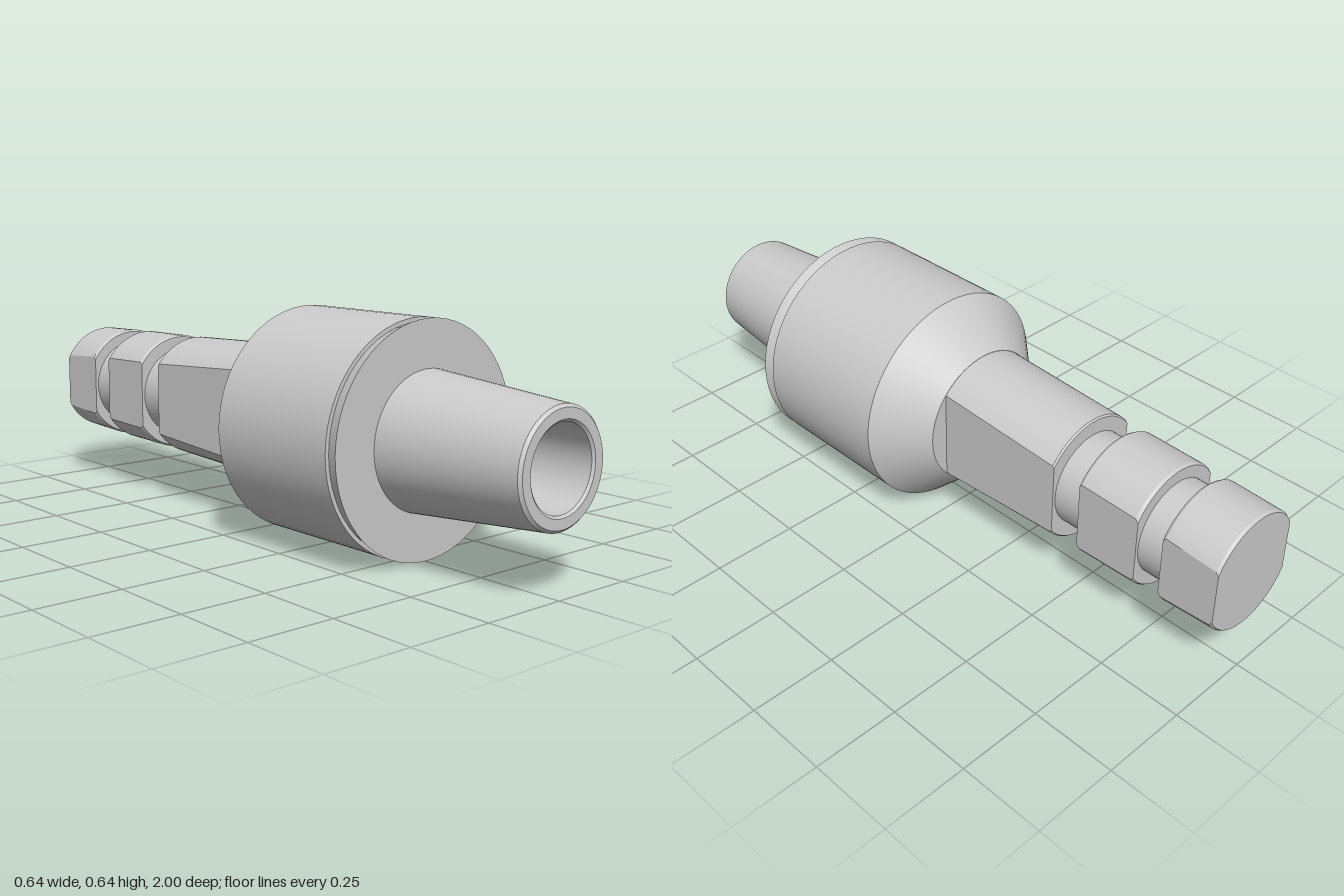
import * as THREE from 'three';
import { toCreasedNormals } from 'three/addons/utils/BufferGeometryUtils.js';

const AXIS_Y = 0.3225; // height of the turning axis
const FLAT_X = 0.147;  // half width between the flats of the shank
const CREASE = 0.45;

// Loft along z of a circle cut by two vertical flats; stations are [z, radius, halfWidth], front to back
function flattedBar(stations, n = 24) {
  const pos = [], idx = [], ring = 2 * (n + 1);
  for (const [z, r, w] of stations) {
    const start = Math.acos(Math.min(1, w / r));
    for (let half = 0; half < 2; half++) {
      for (let i = 0; i <= n; i++) {
        const a = half * Math.PI + start + (Math.PI - 2 * start) * i / n;
        pos.push(r * Math.cos(a), r * Math.sin(a), z);
      }
    }
  }
  const last = stations.length - 1;
  for (let s = 0; s < last; s++) {
    for (let i = 0; i < ring; i++) {
      const j = (i + 1) % ring;
      const a = s * ring + i, b = s * ring + j, c = a + ring, d = b + ring;
      idx.push(a, c, b, b, c, d);
    }
  }
  // end caps
  for (let i = 1; i < ring - 1; i++) {
    idx.push(0, i, i + 1);
    idx.push(last * ring, last * ring + i + 1, last * ring + i);
  }
  const g = new THREE.BufferGeometry();
  g.setAttribute('position', new THREE.Float32BufferAttribute(pos, 3));
  g.setIndex(idx);
  return toCreasedNormals(g, CREASE);
}

// Turned part about z; profile is [radius, z], back to front
function turned(profile, segments = 64) {
  const g = new THREE.LatheGeometry(profile.map(([r, z]) => new THREE.Vector2(r, z)), segments);
  g.rotateX(Math.PI / 2);
  return toCreasedNormals(g, CREASE);
}

export function createModel() {
  const group = new THREE.Group();
  const material = new THREE.MeshStandardMaterial({ color: 0xcccccc });
  const add = (name, geometry) => {
    const mesh = new THREE.Mesh(geometry, material);
    mesh.name = name;
    mesh.position.y = AXIS_Y;
    group.add(mesh);
  };

  // chamfered body with a flared lip at the front
  add('body', turned([
    [0, -0.055], [0.2, -0.055], [0.3225, 0.08], [0.3225, 0.518],
    [0.311, 0.518], [0.3225, 0.555], [0.15, 0.555],
  ]));

  // tapered hollow nozzle
  add('nozzle', turned([
    [0.192, 0.55], [0.156, 0.992], [0.148, 1], [0.12, 1], [0.113, 0.994], [0.113, 0.5], [0, 0.5],
  ]));

  // tapered shank with two flats
  add('shank', flattedBar([[-0.03, 0.2, FLAT_X], [-0.46, 0.184, FLAT_X], [-0.465, 0.18, FLAT_X]]));

  // round necks between the flatted sections
  add('frontNeck', turned([[0.138, -0.56], [0.138, -0.46]], 40));
  add('rearNeck', turned([[0.138, -0.84], [0.138, -0.745]], 40));

  // flatted sections with slightly eased edges
  const sections = [
    ['middleSection', -0.555, -0.75, 0.181, 0.178],
    ['endSection', -0.83, -1, 0.175, 0.17],
  ];
  for (const [name, z0, z1, r0, r1] of sections) {
    add(name, flattedBar([
      [z0, r0 - 0.005, FLAT_X], [z0 - 0.008, r0, FLAT_X],
      [z1 + 0.008, r1, FLAT_X], [z1, r1 - 0.005, FLAT_X],
    ]));
  }
  return group;
}
